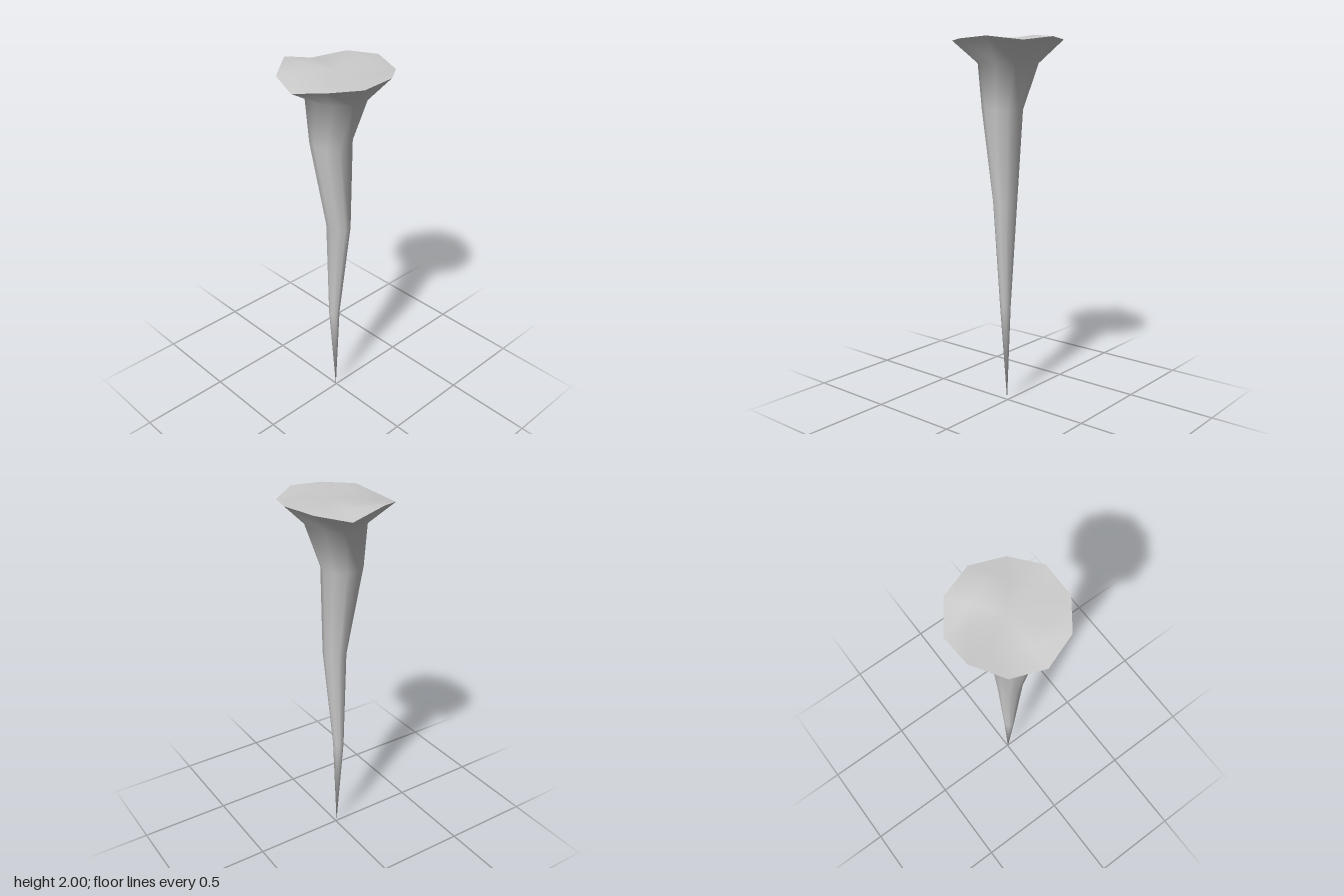
import * as THREE from 'three';

const SIDES = 10;
const material = new THREE.MeshStandardMaterial({ color: 0xcccccc, side: THREE.DoubleSide });

// Ring of points; heights may be one number or one per corner
function ring(x, z, rx, rz, heights) {
  return Array.from({ length: SIDES }, (_, k) => {
    const a = (k / SIDES) * Math.PI * 2;
    const y = Array.isArray(heights) ? heights[k] : heights;
    return [x + rx * Math.cos(a), y, z + rz * Math.sin(a)];
  });
}

// Smooth skin through the rings, closed by a fan to the start or end point
function loft(rings, { start, end }, name) {
  const points = rings.flat();
  const index = [];
  const last = (rings.length - 1) * SIDES;
  const startId = start ? points.push(start) - 1 : -1;
  const endId = end ? points.push(end) - 1 : -1;
  for (let k = 0; k < SIDES; k++) {
    const n = (k + 1) % SIDES;
    for (let r = 0; r < rings.length - 1; r++) {
      const a = r * SIDES, b = a + SIDES;
      index.push(a + k, b + k, b + n, a + k, b + n, a + n);
    }
    if (start) index.push(startId, k, n);
    if (end) index.push(last + k, endId, last + n);
  }
  const geometry = new THREE.BufferGeometry();
  geometry.setAttribute('position', new THREE.Float32BufferAttribute(points.flat(), 3));
  geometry.setIndex(index);
  geometry.computeVertexNormals();
  const mesh = new THREE.Mesh(geometry, material);
  mesh.name = name;
  return mesh;
}

export function createModel() {
  const group = new THREE.Group();
  group.name = 'stalactite';

  // Uneven rim where the spike meets the ceiling
  const rimHeights = [1.99, 1.97, 1.99, 1.98, 1.975, 1.94, 1.965, 2.0, 1.95, 1.98];
  const rim = ring(0, 0, 0.29, 0.29, rimHeights);

  // Crooked spike, from the tip up through the flared neck
  const spike = [
    ring(-0.017, 0, 0.029, 0.031, 0.55),
    ring(-0.003, 0.018, 0.058, 0.076, 1.13),
    ring(-0.037, 0, 0.112, 0.105, 1.62),
    ring(0.003, 0, 0.153, 0.17, 1.86),
    rim,
  ];
  group.add(loft(spike, { start: [-0.005, 0, 0] }, 'spike'));

  // Gently lumpy top face
  const innerHeights = [2.0, 1.985, 1.985, 1.98, 1.98, 1.97, 1.975, 1.985, 1.975, 1.985];
  const top = [rim, ring(0, 0, 0.17, 0.17, innerHeights)];
  group.add(loft(top, { end: [0, 1.98, 0] }, 'topFace'));

  return group;
}
